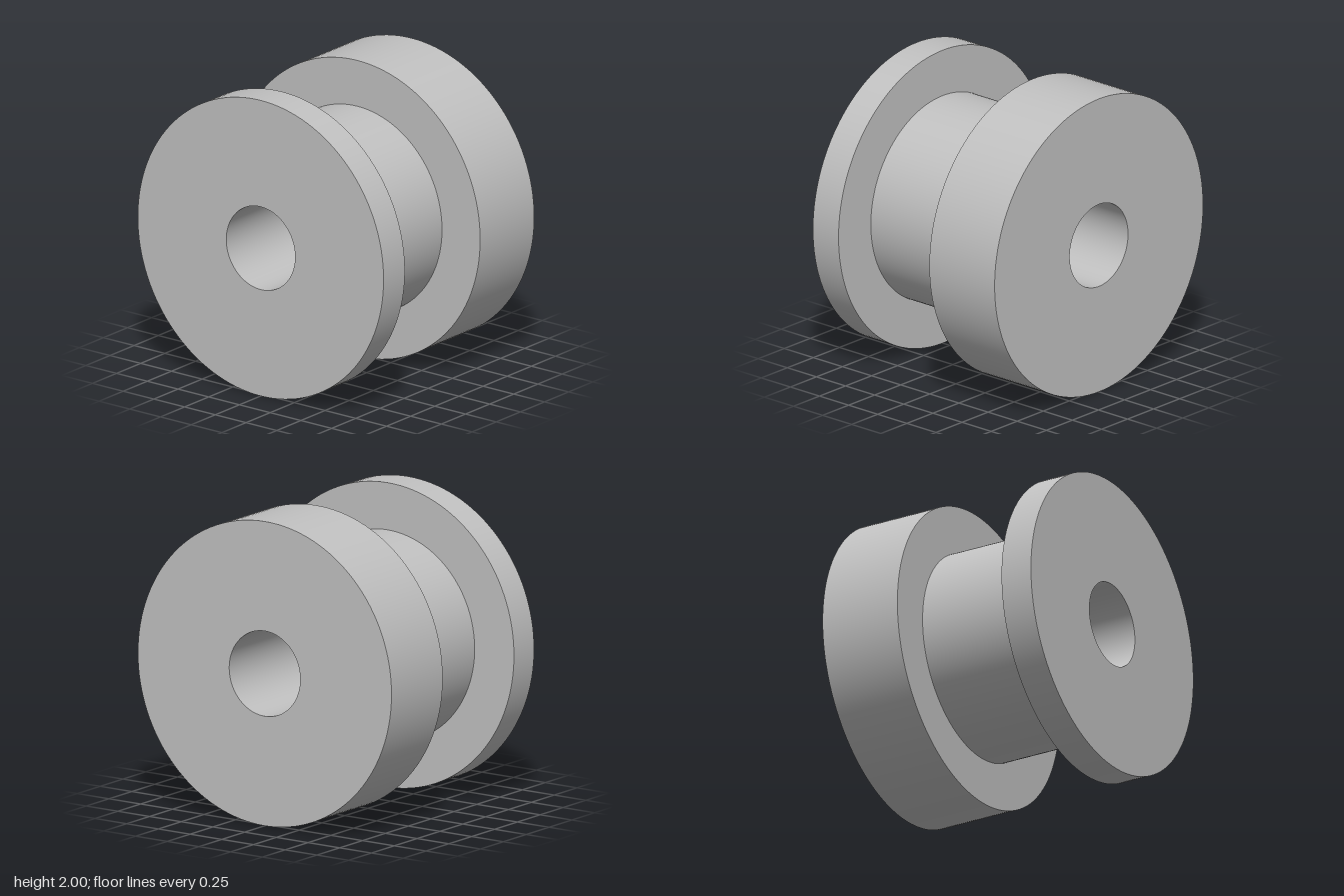
import * as THREE from 'three';
import { mergeGeometries } from 'three/addons/utils/BufferGeometryUtils.js';

const OUTER = 1, HUB = 0.69, BORE = 0.28;
const FRONT = 0.78, FRONT_IN = 0.56, BACK_IN = -0.22, BACK = -0.78;

// Turn [radius, z] profiles around the z axis, with a sharp edge at every corner
function turned(...profiles) {
  const strips = [];
  for (const profile of profiles) {
    for (let i = 0; i + 1 < profile.length; i++) {
      const ends = [profile[i], profile[i + 1]].map(([r, z]) => new THREE.Vector2(r, z));
      strips.push(new THREE.LatheGeometry(ends, 128));
    }
  }
  return mergeGeometries(strips).rotateX(Math.PI / 2);
}

export function createModel() {
  const model = new THREE.Group();
  model.name = 'flangedSpool';
  const grey = new THREE.MeshStandardMaterial({ color: 0xc0c0c0 });
  grey.name = 'plain grey';

  function add(name, ...profiles) {
    const mesh = new THREE.Mesh(turned(...profiles), grey);
    mesh.name = name;
    mesh.position.y = OUTER;
    model.add(mesh);
  }

  // Thin front flange with its stretch of the bore
  add('frontFlange', [[HUB, FRONT_IN], [OUTER, FRONT_IN], [OUTER, FRONT], [BORE, FRONT], [BORE, FRONT_IN]]);
  // Narrow hub: outer wall and bore wall
  add('hub', [[HUB, BACK_IN], [HUB, FRONT_IN]], [[BORE, FRONT_IN], [BORE, BACK_IN]]);
  // Thick back flange with its stretch of the bore
  add('backFlange', [[BORE, BACK_IN], [BORE, BACK], [OUTER, BACK], [OUTER, BACK_IN], [HUB, BACK_IN]]);

  return model;
}
